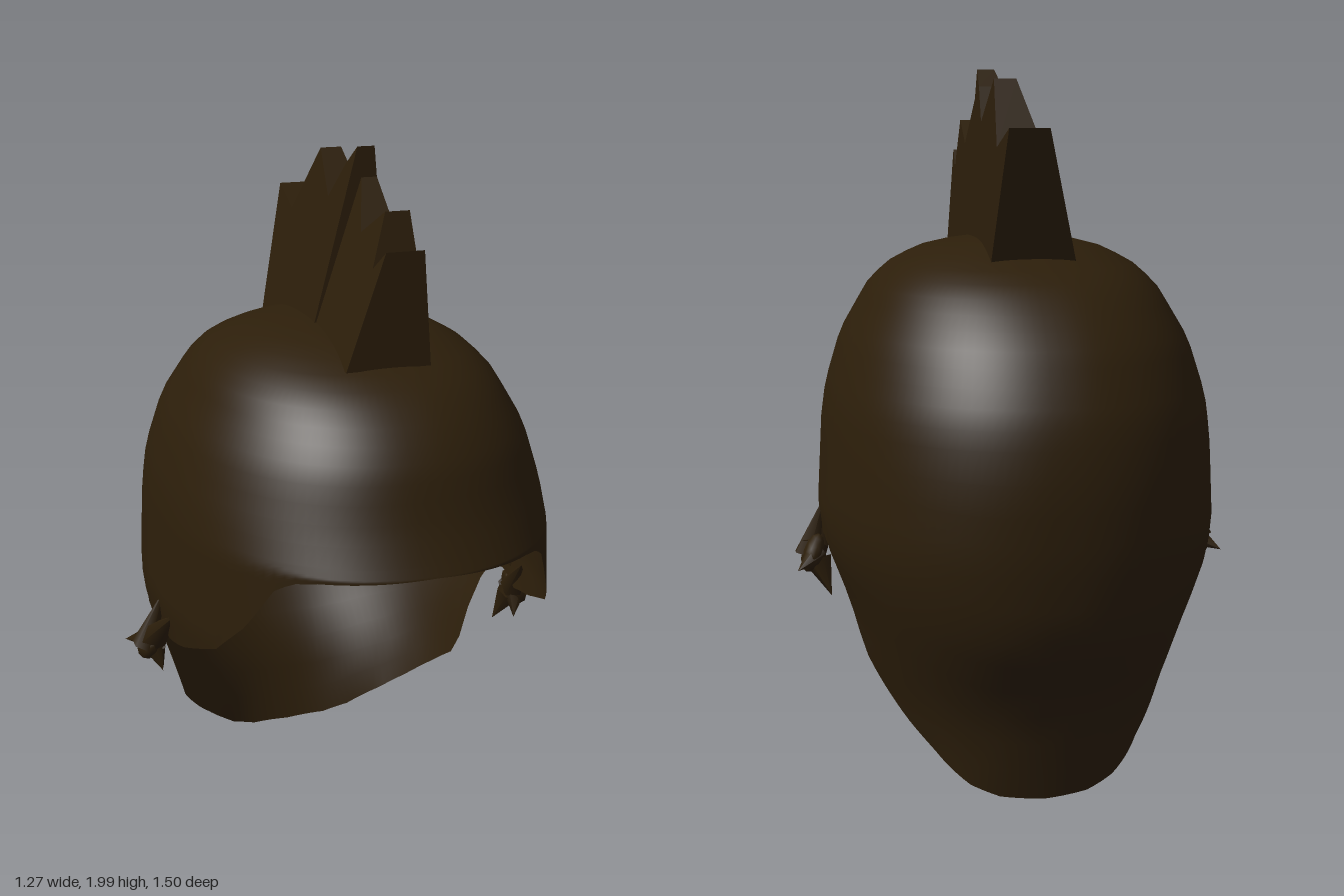
import * as THREE from 'three';

const brown = new THREE.MeshStandardMaterial({ color: 0x2c1e0a, side: THREE.DoubleSide });
brown.name = 'darkBrown';

// Linear lookup in a list of [key, value] pairs with rising keys
function lookup(table, k) {
  for (let i = 1; i < table.length; i++) {
    const [k0, v0] = table[i - 1], [k1, v1] = table[i];
    if (k <= k1) return v0 + (v1 - v0) * Math.max(0, (k - k0) / (k1 - k0));
  }
  return table[table.length - 1][1];
}

// Half-width and front / back depth of the cap at each height
const WIDTH = [[0.02, 0.42], [0.13, 0.39], [0.33, 0.45], [0.5, 0.495], [0.65, 0.55], [0.75, 0.562], [1, 0.548],
  [1.1, 0.535], [1.25, 0.49], [1.4, 0.405], [1.46, 0.34], [1.5, 0.26], [1.525, 0.16], [1.54, 0.01]];
const FRONT = [[1, 0.75], [1.1, 0.7], [1.26, 0.645], [1.35, 0.58], [1.42, 0.5], [1.47, 0.39], [1.505, 0.27], [1.525, 0.16], [1.54, 0.01]];
const BACK = [[0.02, 0.49], [0.28, 0.56], [0.52, 0.705], [0.73, 0.745], [0.95, 0.75], [1.1, 0.725], [1.26, 0.65],
  [1.36, 0.56], [1.43, 0.47], [1.49, 0.32], [1.53, 0.18], [1.54, 0.01]];
// Hairline height by angle from the front, in degrees
const EDGE = [[0, 1], [30, 0.99], [37, 0.98], [42, 0.95], [50, 0.83], [60, 0.73], [76, 0.66], [84, 0.64], [90, 0.67],
  [95, 0.66], [97, 0.6], [99, 0.4], [101.5, 0.34], [122, 0.2], [134, 0.13], [153, 0.05], [165, 0.02], [180, 0.01]];
// Slightly squared ellipse for the plan of the cap
const rounded = v => Math.sign(v) * Math.abs(v) ** (2 / 2.2);

function capGeometry() {
  const half = [];
  for (let a = 0; a < 180; a += 3) half.push(a);
  half.push(95, 97, 98, 101.5);
  half.sort((a, b) => a - b);
  const angles = [...half, 180, ...half.slice(1).map(a => 360 - a)].sort((a, b) => a - b);
  const UP = 16, DOWN = 12, rows = UP + DOWN + 1, pos = [], index = [];
  for (const deg of angles) {
    const a = THREE.MathUtils.degToRad(deg), edge = lookup(EDGE, deg > 180 ? 360 - deg : deg);
    for (let j = 0; j < rows; j++) {
      const y = j <= UP
        ? 1.54 - 0.51 * (1 - Math.cos(j / UP * Math.PI / 2))
        : 1.03 + (edge - 1.03) * (j - UP) / DOWN;
      const c = rounded(Math.cos(a));
      pos.push(lookup(WIDTH, y) * rounded(Math.sin(a)), y, c * lookup(c > 0 ? FRONT : BACK, y));
    }
  }
  angles.forEach((_, i) => {
    const n = (i + 1) % angles.length;
    for (let j = 0; j < rows - 1; j++) {
      const p = i * rows + j, q = n * rows + j;
      index.push(p, p + 1, q, q, p + 1, q + 1);
    }
  });
  const g = new THREE.BufferGeometry();
  g.setAttribute('position', new THREE.Float32BufferAttribute(pos, 3));
  g.setIndex(index);
  g.computeVertexNormals();
  return g;
}

// Jagged crest: stations of [base z, top z, top y], each a tapering four-sided slice;
// lean is how far the left wall moves inwards over the full height
function crestGeometry(stations, lean) {
  const slices = stations.map(([zb, zt, y]) => {
    const k = (y - 1.46) / 0.54;
    return [[-0.12, 1.46, zb], [-0.12 + lean * k, y, zt], [0.12 - 0.04 * k, y, zt], [0.12, 1.46, zb]];
  });
  const pos = [];
  const quad = (a, b, c, d) => pos.push(...a, ...b, ...c, ...a, ...c, ...d);
  for (let i = 0; i < slices.length - 1; i++) {
    for (let j = 0; j < 3; j++) quad(slices[i][j], slices[i][j + 1], slices[i + 1][j + 1], slices[i + 1][j]);
  }
  const f = slices[0], b = slices[slices.length - 1];
  quad(f[0], f[3], f[2], f[1]);
  quad(b[0], b[1], b[2], b[3]);
  const g = new THREE.BufferGeometry();
  g.setAttribute('position', new THREE.Float32BufferAttribute(pos, 3));
  g.computeVertexNormals();
  return g;
}

// Pointed lock between two points
function lock(from, to, radius) {
  const a = new THREE.Vector3(...from), b = new THREE.Vector3(...to), dir = b.clone().sub(a);
  const g = new THREE.ConeGeometry(radius, dir.length(), 6);
  g.applyQuaternion(new THREE.Quaternion().setFromUnitVectors(new THREE.Vector3(0, 1, 0), dir.normalize()));
  g.translate(...a.add(b).multiplyScalar(0.5).toArray());
  return g;
}

export function createModel() {
  const model = new THREE.Group();
  model.name = 'hair';
  const add = (name, geometry, parent = model) => {
    const m = new THREE.Mesh(geometry, brown);
    m.name = name;
    parent.add(m);
  };

  add('hairCap', capGeometry());

  // Two overlapping blocks of the crest
  add('frontCrest', crestGeometry([[0.4, 0.4, 1.77], [0.35, 0.35, 1.72], [0.3, 0.31, 1.86], [0.2, 0.2, 1.79],
    [0.1, 0.08, 1.92]], 0.19));
  add('rearCrest', crestGeometry([[0.1, 0.08, 2], [0.04, 0.03, 1.95], [-0.03, -0.04, 1.85], [-0.16, -0.19, 1.965],
    [-0.24, -0.3, 1.78], [-0.33, -0.45, 1.83]], 0.15));

  // Small ragged sideburns in front of each ear
  for (const [side, s] of [['left', 1], ['right', -1]]) {
    const tuft = new THREE.Group();
    tuft.name = side + 'Sideburn';
    const knot = new THREE.IcosahedronGeometry(1, 1);
    knot.scale(0.03, 0.06, 0.06);
    knot.rotateZ(s * 0.35);
    knot.translate(s * 0.585, 0.61, 0.015);
    add('sideburnKnot', knot, tuft);
    const locks = [
      [[0.575, 0.61, 0], [0.635, 0.58, -0.075], 0.035],
      [[0.6, 0.6, 0.03], [0.545, 0.77, 0.05], 0.04],
      [[0.57, 0.59, 0.01], [0.535, 0.49, -0.03], 0.04],
      [[0.58, 0.6, 0.03], [0.56, 0.53, 0.07], 0.035],
      [[0.58, 0.62, 0.03], [0.535, 0.74, 0.16], 0.045]
    ];
    for (const [from, to, r] of locks) {
      add('sideburnLock', lock([s * from[0], from[1], from[2]], [s * to[0], to[1], to[2]], r), tuft);
    }
    model.add(tuft);
  }
  return model;
}
